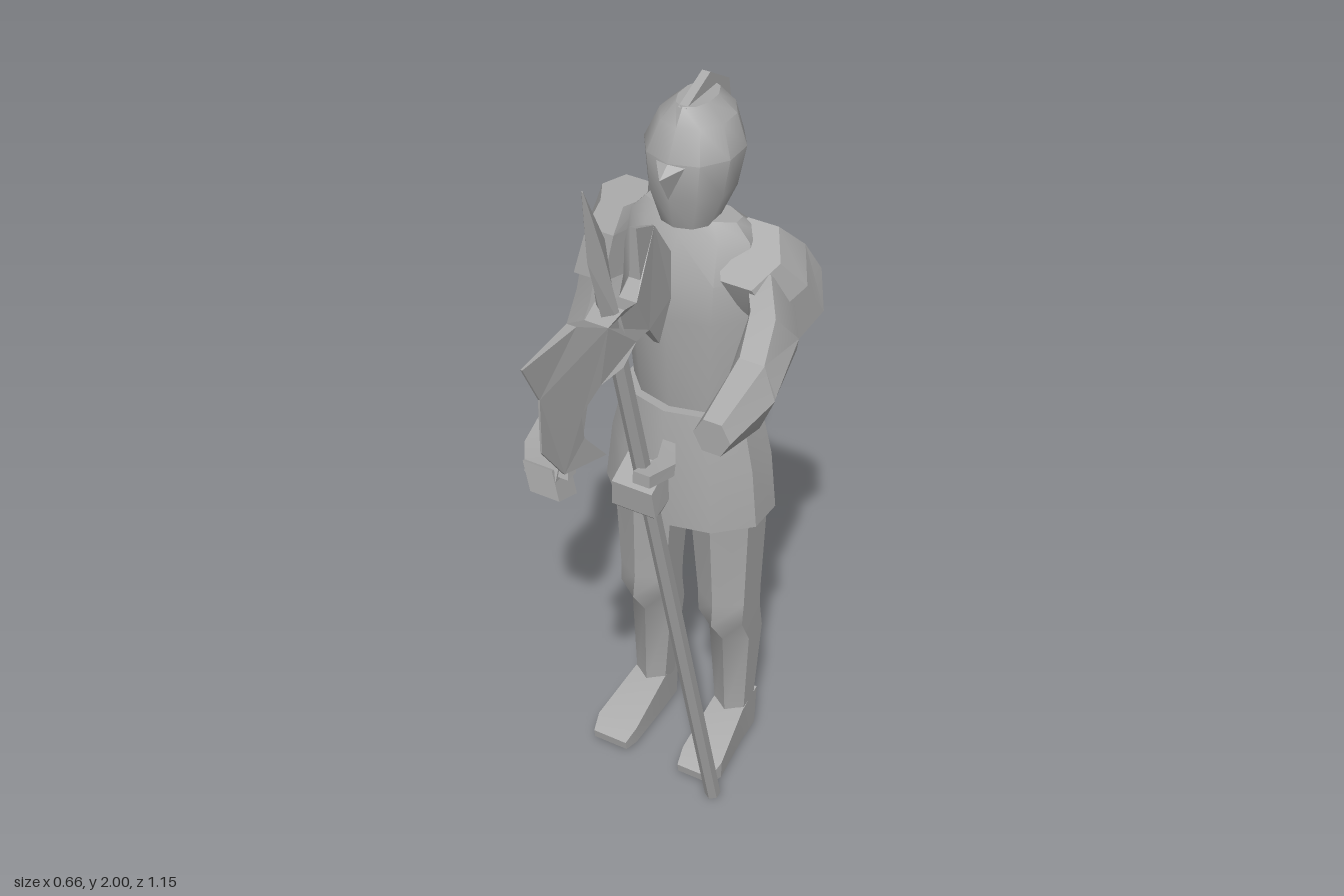
import * as THREE from 'three';
import { toCreasedNormals } from 'three/addons/utils/BufferGeometryUtils.js';
import { ConvexGeometry } from 'three/addons/geometries/ConvexGeometry.js';

const steel = new THREE.MeshStandardMaterial({ color: 0xa8a8a8 });
steel.name = 'steel';
const CX = 0.022; // centre line of the body

// Polygon with n corners that exactly fills the span of the half axes u and v around c
function ring(c, u, v, n, phase) {
  const angles = Array.from({ length: n }, (_, i) => phase + (i / n) * Math.PI * 2);
  const mc = Math.max(...angles.map((a) => Math.abs(Math.cos(a))));
  const ms = Math.max(...angles.map((a) => Math.abs(Math.sin(a))));
  return angles.map((a) => c.clone()
    .addScaledVector(u, Math.cos(a) / mc).addScaledVector(v, Math.sin(a) / ms));
}

// Horizontal cross-section
function level(y, x0, x1, z0, z1, n = 10, phase = Math.PI / 2) {
  return ring(new THREE.Vector3((x0 + x1) / 2, y, (z0 + z1) / 2),
    new THREE.Vector3((x1 - x0) / 2, 0, 0), new THREE.Vector3(0, 0, (z1 - z0) / 2), n, phase);
}

// Cross-section between two [z, y] points, spanning x0..x1
function slant(a, b, x0, x1, n = 6, phase = 0) {
  return ring(new THREE.Vector3((x0 + x1) / 2, (a[1] + b[1]) / 2, (a[0] + b[0]) / 2),
    new THREE.Vector3((x1 - x0) / 2, 0, 0),
    new THREE.Vector3(0, (a[1] - b[1]) / 2, (a[0] - b[0]) / 2), n, phase);
}

// Closed skin over a row of cross-sections, wound outwards
function loft(rings, crease = 0.7) {
  const tris = [];
  const n = rings[0].length;
  for (let r = 0; r < rings.length - 1; r++) {
    for (let i = 0; i < n; i++) {
      const j = (i + 1) % n, a = rings[r], b = rings[r + 1];
      tris.push([a[i], a[j], b[j]], [a[i], b[j], b[i]]);
    }
  }
  const cap = (p, flip) => {
    const m = p.reduce((s, q) => s.add(q), new THREE.Vector3()).divideScalar(n);
    p.forEach((q, i) => tris.push(flip ? [m, p[(i + 1) % n], q] : [m, q, p[(i + 1) % n]]));
  };
  cap(rings[0], true);
  cap(rings[rings.length - 1], false);
  const o = rings[0][0], v = (p) => p.clone().sub(o);
  const volume = tris.reduce((s, t) => s + v(t[0]).dot(v(t[1]).cross(v(t[2]))), 0);
  const pts = tris.flatMap((t) => (volume < 0 ? [t[0], t[2], t[1]] : t));
  return toCreasedNormals(new THREE.BufferGeometry().setFromPoints(pts), crease);
}

function add(parent, name, geometry) {
  const mesh = new THREE.Mesh(geometry, steel);
  mesh.name = name;
  parent.add(mesh);
  return mesh;
}

// Extruded [z, y] outline, centred on x = 0
function plate(outline, thickness) {
  const shape = new THREE.Shape(outline.map(([z, y]) => new THREE.Vector2(z, y)));
  return new THREE.ExtrudeGeometry(shape, { depth: thickness, bevelEnabled: false })
    .translate(0, 0, -thickness / 2).rotateY(-Math.PI / 2);
}

function buildBody(g) {
  add(g, 'torso', loft([
    level(1.04, -0.115, 0.16, -0.54, -0.31),
    level(1.3, -0.14, 0.185, -0.56, -0.28),
    level(1.4, -0.14, 0.185, -0.555, -0.285),
    level(1.49, -0.125, 0.17, -0.49, -0.325),
    level(1.53, -0.09, 0.135, -0.445, -0.35),
  ]));
  add(g, 'skirt', loft([
    level(0.75, CX - 0.2, CX + 0.2, -0.572, -0.268),
    level(0.9, CX - 0.185, CX + 0.185, -0.565, -0.27),
    level(1.055, CX - 0.15, CX + 0.15, -0.545, -0.285),
  ]));
  add(g, 'helmet', loft([
    level(1.52, -0.04, 0.085, -0.445, -0.31),
    level(1.6, -0.07, 0.115, -0.49, -0.285),
    level(1.69, -0.083, 0.127, -0.515, -0.278),
    level(1.76, -0.055, 0.1, -0.5, -0.31),
    level(1.798, -0.015, 0.06, -0.47, -0.335),
  ]));
  add(g, 'visor', new ConvexGeometry([
    [CX - 0.038, 1.685, -0.295], [CX + 0.038, 1.685, -0.295],
    [CX, 1.6, -0.285], [CX, 1.69, -0.28], [CX, 1.665, -0.245],
  ].map((p) => new THREE.Vector3(...p))));
  add(g, 'crest', plate([[-0.335, 1.795], [-0.435, 1.837], [-0.52, 1.785],
    [-0.545, 1.675], [-0.47, 1.545], [-0.44, 1.6], [-0.48, 1.7], [-0.44, 1.78]], 0.02)).position.x = CX;
}

function buildLeg(side) {
  const g = new THREE.Group();
  g.name = side < 0 ? 'rightLeg' : 'leftLeg';
  const m = (a, b) => (side < 0 ? [-a, -b] : [b, a]); // outer, inner distance from centre
  const sec = (y, out, inn, z0, z1) => level(y, ...m(out, inn), z0, z1, 6);
  add(g, 'leg', loft([
    sec(0.8, 0.182, 0.02, -0.51, -0.325),
    sec(0.49, 0.169, 0.044, -0.515, -0.35),
    sec(0.43, 0.167, 0.048, -0.525, -0.345),
    sec(0.35, 0.163, 0.054, -0.537, -0.405),
    sec(0.1, 0.152, 0.072, -0.52, -0.425),
  ]));
  const q = Math.PI / 4;
  add(g, 'foot', loft([
    slant([-0.52, 0.13], [-0.515, 0.016], ...m(0.15, 0.074), 4, q),
    slant([-0.44, 0.115], [-0.44, 0.014], ...m(0.155, 0.07), 4, q),
    slant([-0.3, 0.058], [-0.3, 0.011], ...m(0.175, 0.066), 4, q),
    slant([-0.26, 0.035], [-0.265, 0.011], ...m(0.165, 0.074), 4, q),
  ], 0.3));
  g.position.x = CX;
  return g;
}

function buildRightArm() {
  const g = new THREE.Group();
  g.name = 'rightArm';
  const q = Math.PI / 4;
  add(g, 'shoulderPlate', loft([
    slant([-0.37, 1.49], [-0.48, 1.5], -0.225, -0.11),
    slant([-0.34, 1.43], [-0.54, 1.44], -0.25, -0.11),
    slant([-0.33, 1.31], [-0.53, 1.31], -0.28, -0.125),
  ], 0.3));
  add(g, 'arm', loft([
    level(1.4, -0.25, -0.14, -0.51, -0.37, 6),
    level(1.22, -0.275, -0.165, -0.495, -0.365, 6),
    level(1.05, -0.3, -0.205, -0.44, -0.32, 6),
  ]));
  add(g, 'gauntletCuff', loft([
    slant([-0.3, 1.045], [-0.46, 1.08], -0.33, -0.19),
    slant([-0.28, 0.92], [-0.38, 0.94], -0.3, -0.225),
  ], 0.3));
  add(g, 'hand', loft([
    level(0.94, -0.3, -0.228, -0.37, -0.285, 4, q),
    level(0.865, -0.325, -0.225, -0.345, -0.245, 4, q),
    level(0.8, -0.31, -0.225, -0.31, -0.22, 4, q),
  ], 0.3));
  add(g, 'fingers', loft([
    slant([-0.22, 0.83], [-0.3, 0.8], -0.315, -0.235, 4, q),
    slant([-0.212, 0.755], [-0.29, 0.73], -0.29, -0.21, 4, q),
  ], 0.3));
  add(g, 'thumb', loft([
    level(0.89, -0.25, -0.215, -0.3, -0.26, 4, q),
    level(0.81, -0.225, -0.197, -0.265, -0.23, 4, q),
  ], 0.3));
  return g;
}

function buildLeftArm() {
  const g = new THREE.Group();
  g.name = 'leftArm';
  add(g, 'shoulderPlate', loft([
    slant([-0.315, 1.42], [-0.43, 1.52], 0.1, 0.25),
    slant([-0.347, 1.35], [-0.485, 1.46], 0.12, 0.295),
    slant([-0.415, 1.25], [-0.525, 1.385], 0.16, 0.312),
  ], 0.3));
  add(g, 'arm', loft([
    slant([-0.35, 1.45], [-0.46, 1.3], 0.15, 0.27),
    slant([-0.3, 1.38], [-0.41, 1.24], 0.19, 0.312),
    slant([-0.23, 1.305], [-0.235, 1.16], 0.205, 0.325),
  ]));
  add(g, 'gauntletCuff', loft([
    slant([-0.23, 1.305], [-0.22, 1.15], 0.203, 0.327),
    slant([-0.08, 1.235], [-0.08, 1.155], 0.21, 0.3),
  ], 0.3));
  return g;
}

function buildHalberd() {
  const g = new THREE.Group();
  g.name = 'halberd';
  g.position.x = 0.206;
  const footZ = -0.242, slope = 0.303; // lean of the shaft

  const shaft = new THREE.Group();
  shaft.name = 'shaft';
  shaft.position.set(0, 0.01, footZ);
  shaft.rotation.x = Math.atan(slope);
  g.add(shaft);
  add(shaft, 'pole', toCreasedNormals(new THREE.CylinderGeometry(0.019, 0.019, 1.76, 6).translate(0, 0.88, 0), 0.5));
  add(shaft, 'spike', loft([
    level(1.7, -0.03, 0.03, -0.022, 0.022, 4),
    level(1.92, -0.016, 0.016, -0.036, 0.03, 4),
    level(2.08, -0.002, 0.002, -0.002, 0.002, 4),
  ], 0.3));

  // Axe blade in front, smaller blade behind, thinning towards the edges
  const blade = plate([[0.574, 1.733], [0.4, 1.733], [0.31, 1.685], [0.26, 1.7], [0.193, 1.675],
    [0.167, 1.71], [0.177, 1.83], [0.098, 1.795], [0.03, 1.7], [0.025, 1.59], [0.077, 1.51],
    [0.13, 1.575], [0.205, 1.595], [0.257, 1.565], [0.32, 1.555], [0.37, 1.51], [0.357, 1.447],
    [0.288, 1.368], [0.43, 1.405], [0.51, 1.505], [0.516, 1.632]], 0.07);
  const p = blade.attributes.position;
  for (let i = 0; i < p.count; i++) {
    const d = Math.abs(p.getZ(i) - footZ - slope * p.getY(i));
    p.setX(i, p.getX(i) * Math.max(0.06, 1 - d / 0.17));
  }
  blade.computeVertexNormals();
  add(g, 'blade', blade);

  // Gauntlet gripping the shaft
  const q = Math.PI / 4;
  add(g, 'grippingHand', loft([
    slant([0.165, 1.2], [0.1, 1.235], -0.05, 0.045, 4, q),
    slant([0.155, 1.135], [0.1, 1.15], -0.055, 0.05, 4, q),
    slant([0.145, 1.125], [0.118, 1.12], -0.045, 0.04, 4, q),
  ], 0.3));
  add(g, 'grippingThumb', loft([
    slant([0.165, 1.245], [0.165, 1.215], 0.0, 0.04, 4, q),
    slant([0.09, 1.238], [0.095, 1.21], 0.015, 0.058, 4, q),
    slant([0.025, 1.235], [0.025, 1.215], -0.01, 0.02, 4, q),
  ], 0.3));
  return g;
}

export function createModel() {
  const model = new THREE.Group();
  model.name = 'armouredGuard';
  buildBody(model);
  model.add(buildLeg(-1), buildLeg(1), buildRightArm(), buildLeftArm(), buildHalberd());
  return model;
}
